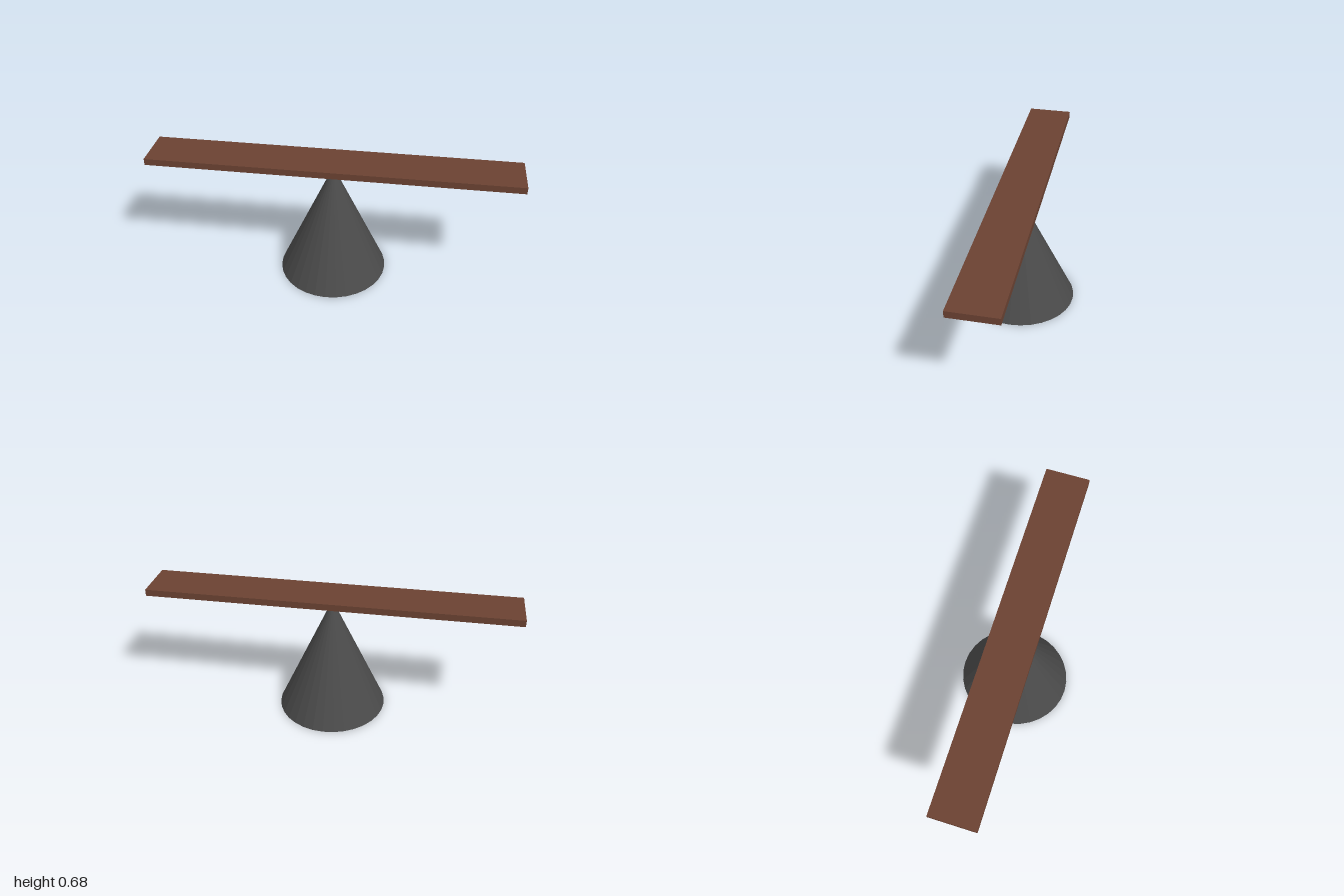
import * as THREE from 'three';

export function createModel() {
  const group = new THREE.Group();
  const coneHeight = 0.648;
  const plankThickness = 0.036;

  // Faceted cone support, slightly wider front to back
  const cone = new THREE.Mesh(
    new THREE.ConeGeometry(1, coneHeight, 32),
    new THREE.MeshStandardMaterial({ color: 0x4a4a4a, flatShading: true })
  );
  cone.name = 'coneSupport';
  cone.scale.set(0.297, 1, 0.312);
  cone.position.y = coneHeight / 2;
  group.add(cone);

  // Plank balanced on the tip
  const plank = new THREE.Mesh(
    new THREE.BoxGeometry(2, plankThickness, 0.25),
    new THREE.MeshStandardMaterial({ color: 0x6b4232 })
  );
  plank.name = 'plank';
  plank.position.set(0, coneHeight + plankThickness / 2, 0.002);
  group.add(plank);

  return group;
}
